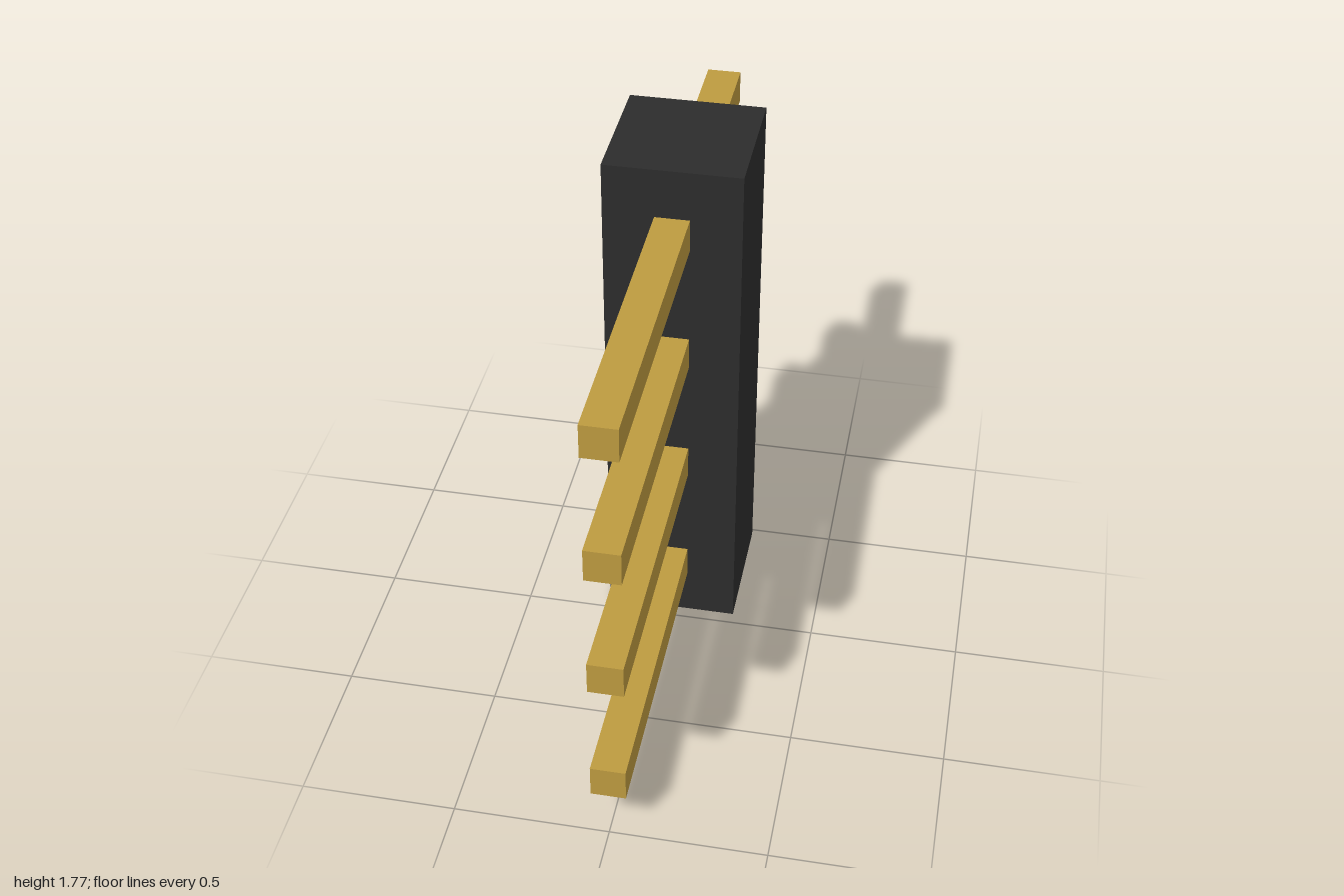
import * as THREE from 'three';

export function createModel() {
  const model = new THREE.Group();
  const black = new THREE.MeshStandardMaterial({ color: 0x2d2d2d });
  black.name = 'black plastic';
  const gold = new THREE.MeshStandardMaterial({ color: 0xbe9b40 });
  gold.name = 'gold metal';

  const pinCount = 4, pitch = 0.4425, pinSize = 0.111;
  const bodyWidth = 0.437, bodyBack = -0.48, bodyFront = -0.043;

  // Square plastic housing
  const height = pinCount * pitch;
  const body = new THREE.Mesh(
    new THREE.BoxGeometry(bodyWidth, height, bodyFront - bodyBack), black);
  body.name = 'housing';
  body.position.set(0, height / 2, (bodyFront + bodyBack) / 2);
  model.add(body);

  // Square pins running through the housing
  const pinGeometry = new THREE.BoxGeometry(pinSize, pinSize, 2);
  for (let i = 0; i < pinCount; i++) {
    const pin = new THREE.Mesh(pinGeometry, gold);
    pin.name = `pin${i + 1}`;
    pin.position.y = (i + 0.5) * pitch;
    model.add(pin);
  }
  return model;
}
